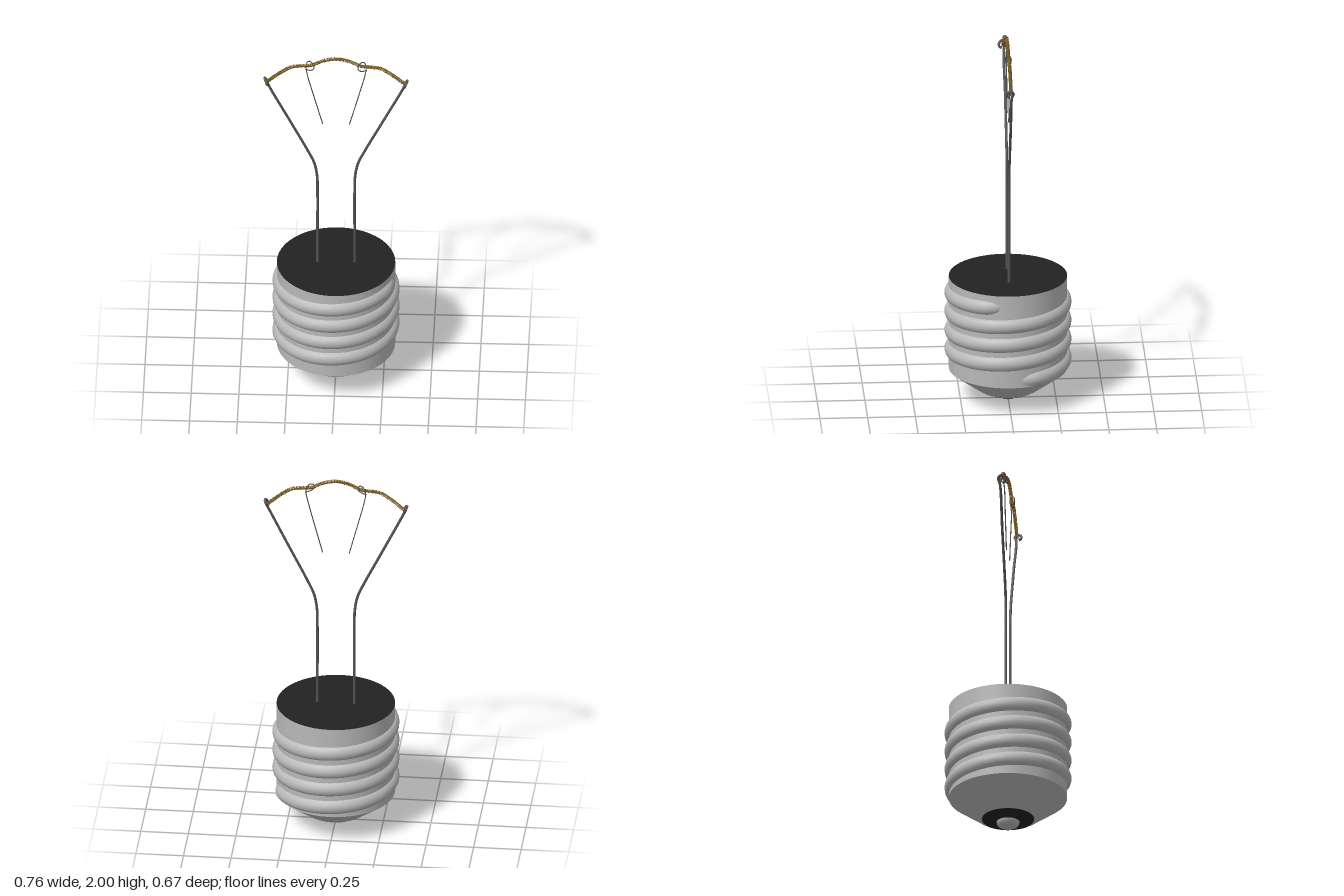
import * as THREE from 'three';

const mat = (name, color, side = THREE.FrontSide) => {
  const m = new THREE.MeshStandardMaterial({ color, side });
  m.name = name;
  return m;
};

// Curve defined by a function of t in 0..1
class RuleCurve extends THREE.Curve {
  constructor(rule) { super(); this.rule = rule; }
  getPoint(t, target = new THREE.Vector3()) { return target.copy(this.rule(t)); }
}

export function createModel() {
  const model = new THREE.Group();
  model.name = 'lightBulbInterior';
  const silver = mat('silver metal', 0xb8b8b8, THREE.DoubleSide);
  const black = mat('black insulator', 0x222222, THREE.DoubleSide);
  const steel = mat('dark wire', 0x555555);
  const bronze = mat('bronze filament', 0x80601f);

  const add = (name, geometry, material, parent = model) => {
    const mesh = new THREE.Mesh(geometry, material);
    mesh.name = name;
    parent.add(mesh);
    return mesh;
  };
  const lathe = (pts) => new THREE.LatheGeometry(pts.map(([r, y]) => new THREE.Vector2(r, y)), 72);
  const path = (pts, sx = 1) =>
    new THREE.CatmullRomCurve3(pts.map(([x, y, z]) => new THREE.Vector3(x * sx, y, z)), false, 'centripetal');

  // Screw base
  add('baseShell', lathe([[0.31, 0.17], [0.31, 0.685]]), silver);
  add('baseCone', lathe([[0.137, 0.048], [0.15, 0.054], [0.165, 0.063], [0.31, 0.17]]), silver);
  add('bottomInsulator', lathe([[0.055, 0.03], [0.125, 0.042], [0.137, 0.048]]), black);
  add('bottomContact', lathe([[0, 0], [0.035, 0.002], [0.05, 0.009], [0.058, 0.02], [0.06, 0.032]]), silver);
  const cap = add('topCap', new THREE.CircleGeometry(0.31, 72), black);
  cap.rotation.x = -Math.PI / 2;
  cap.position.y = 0.685;

  // Screw thread: four turns, sinking into the shell at both ends
  const turns = 4;
  const helix = new RuleCurve((t) => {
    const a = t * turns * Math.PI * 2;
    const fade = THREE.MathUtils.smoothstep(Math.min(t, 1 - t), 0, 0.02);
    const r = 0.25 + 0.038 * fade;
    return new THREE.Vector3(r * Math.cos(a), 0.2 + 0.42 * t, -r * Math.sin(a));
  });
  add('screwThread', new THREE.TubeGeometry(helix, turns * 72, 0.045, 16), silver);

  // Lead wires and filament hooks, mirrored left and right
  for (const [side, sx] of [['left', 1], ['right', -1]]) {
    const lead = path([
      [0.097, 0.68, 0], [0.097, 0.9, 0], [0.097, 1.13, 0], [0.1, 1.24, 0], [0.115, 1.32, 0],
      [0.15, 1.4, 0], [0.25, 1.602, 0], [0.357, 1.82, 0], [0.367, 1.845, -0.008],
      [0.374, 1.86, 0.006], [0.367, 1.853, 0.022], [0.36, 1.832, 0.026], [0.358, 1.822, 0.012],
    ], sx);
    add(side + 'LeadWire', new THREE.TubeGeometry(lead, 160, 0.007, 8), steel);

    const support = path([
      [0.07, 1.57, 0], [0.12, 1.76, 0], [0.15, 1.88, 0], [0.157, 1.925, -0.004],
      [0.15, 1.958, -0.008], [0.135, 1.969, 0], [0.12, 1.96, 0.016], [0.115, 1.94, 0.021],
      [0.13, 1.924, 0.018], [0.15, 1.92, 0.008], [0.162, 1.918, 0.002],
    ], sx);
    add(side + 'SupportWire', new THREE.TubeGeometry(support, 90, 0.003, 6), steel);
  }

  // Coiled filament wound around a wavy path
  const half = [[0.365, 1.835], [0.28, 1.905], [0.23, 1.935], [0.175, 1.942], [0.13, 1.947], [0.07, 1.976]];
  const spine = path([
    ...half.map(([x, y]) => [-x, y, 0.004]), [0, 1.99, 0.004],
    ...[...half].reverse().map(([x, y]) => [x, y, 0.004]),
  ]);
  const coils = 110;
  const coil = new RuleCurve((t) => {
    const p = spine.getPointAt(t);
    const d = spine.getTangentAt(t);
    const a = t * coils * Math.PI * 2;
    const n = 0.0075 * Math.cos(a);
    return new THREE.Vector3(p.x - d.y * n, p.y + d.x * n, p.z + 0.0075 * Math.sin(a));
  });
  coil.arcLengthDivisions = coils * 10;
  add('filamentCoil', new THREE.TubeGeometry(coil, coils * 12, 0.0026, 5), bronze);

  return model;
}
